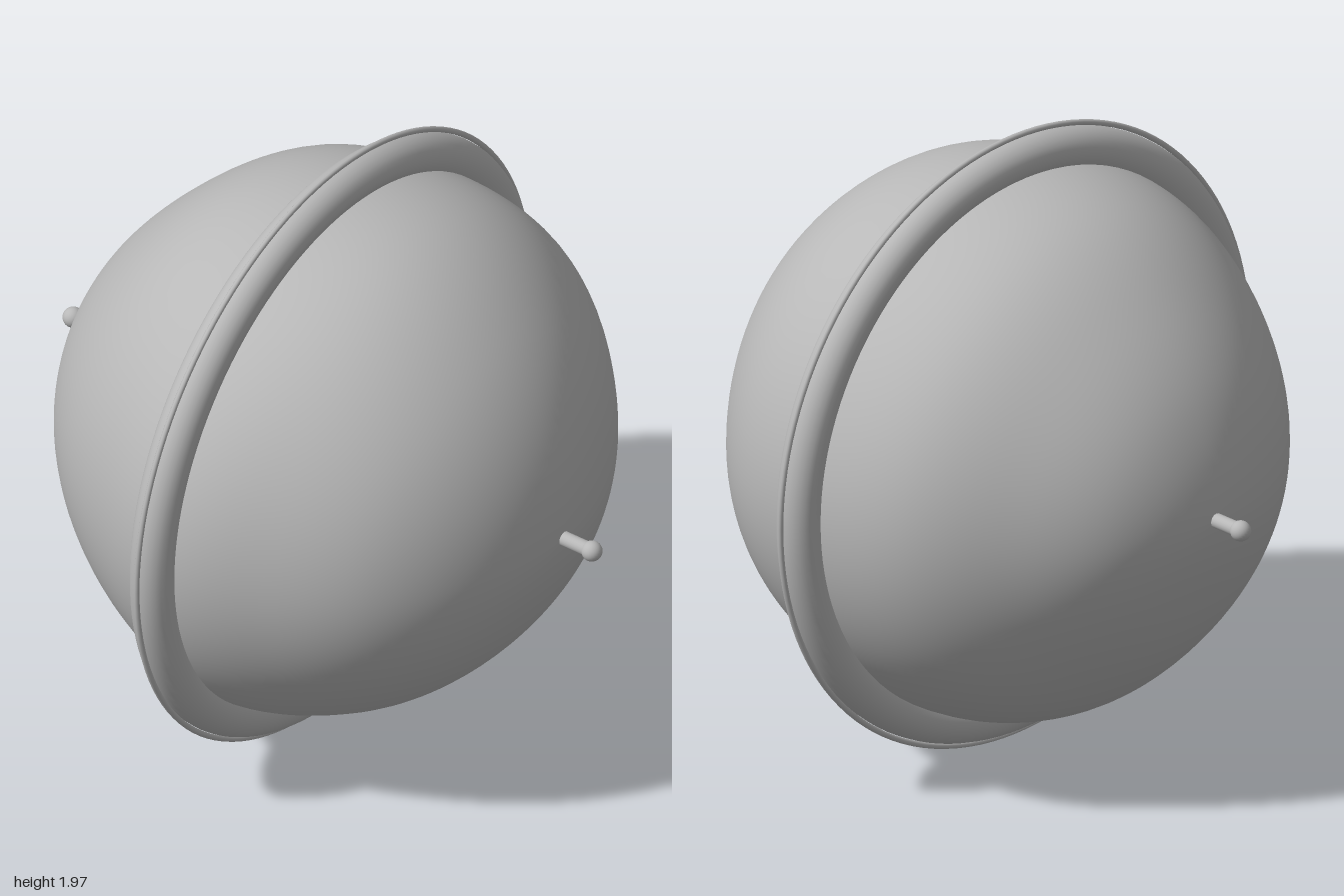
import * as THREE from 'three';

const CENTER_Y = 0.987;

export function createModel() {
  const group = new THREE.Group();
  const grey = new THREE.MeshStandardMaterial({ color: 0xb8b8b8 });
  grey.name = 'plain grey';

  const add = (name, geometry, z = 0) => {
    const mesh = new THREE.Mesh(geometry, grey);
    mesh.name = name;
    mesh.position.set(0, CENTER_Y, z);
    group.add(mesh);
    return mesh;
  };

  // Slightly lumpy ball: radius along four meridians, front pole to back pole
  const meridian = (radii) =>
    new THREE.SplineCurve(radii.map((r, i) => new THREE.Vector2(i, r)));
  const left = meridian([0.864, 0.85, 0.858, 0.88, 0.864, 0.872, 0.843, 0.862, 0.866]);
  const right = meridian([0.864, 0.863, 0.858, 0.84, 0.862, 0.82, 0.824, 0.846, 0.866]);
  const top = meridian([0.864, 0.867, 0.875, 0.886, 0.864, 0.864, 0.842, 0.852, 0.866]);
  const bottom = meridian([0.864, 0.832, 0.822, 0.838, 0.862, 0.86, 0.832, 0.832, 0.866]);

  const ball = new THREE.SphereGeometry(1, 96, 64);
  ball.rotateX(Math.PI / 2);
  const pos = ball.attributes.position;
  const v = new THREE.Vector3();
  for (let i = 0; i < pos.count; i++) {
    v.fromBufferAttribute(pos, i).normalize();
    const t = Math.acos(THREE.MathUtils.clamp(v.z, -1, 1)) / Math.PI;
    const around = Math.hypot(v.x, v.y) || 1;
    const wx = (v.x / around) ** 2;
    const side = (v.x > 0 ? left : right).getPoint(t).y;
    const upright = (v.y > 0 ? top : bottom).getPoint(t).y;
    v.multiplyScalar(upright + (side - upright) * wx);
    pos.setXYZ(i, v.x, v.y, v.z);
  }
  ball.computeVertexNormals();
  // Blend the normals where the surface closes on itself
  const normal = ball.attributes.normal;
  const n = new THREE.Vector3();
  for (let row = 0; row <= 64; row++) {
    const a = row * 97, b = a + 96;
    n.fromBufferAttribute(normal, a).add(v.fromBufferAttribute(normal, b)).normalize();
    normal.setXYZ(a, n.x, n.y, n.z);
    normal.setXYZ(b, n.x, n.y, n.z);
  }
  add('ball', ball);

  // Thick ring around the ball with a fine seam on its outer edge
  add('ring', new THREE.TorusGeometry(0.9, 0.067, 24, 128));
  add('ringSeam', new THREE.TorusGeometry(0.977, 0.009, 10, 128));

  // Knobbed pin at the front and back
  for (const [name, s] of [['front', 1], ['back', -1]]) {
    const rod = new THREE.CylinderGeometry(0.023, 0.023, 0.16, 20);
    rod.rotateX(Math.PI / 2);
    add(name + 'Pin', rod, s * 0.88);
    add(name + 'Knob', new THREE.SphereGeometry(0.032, 24, 16), s * 0.968);
  }
  return group;
}
